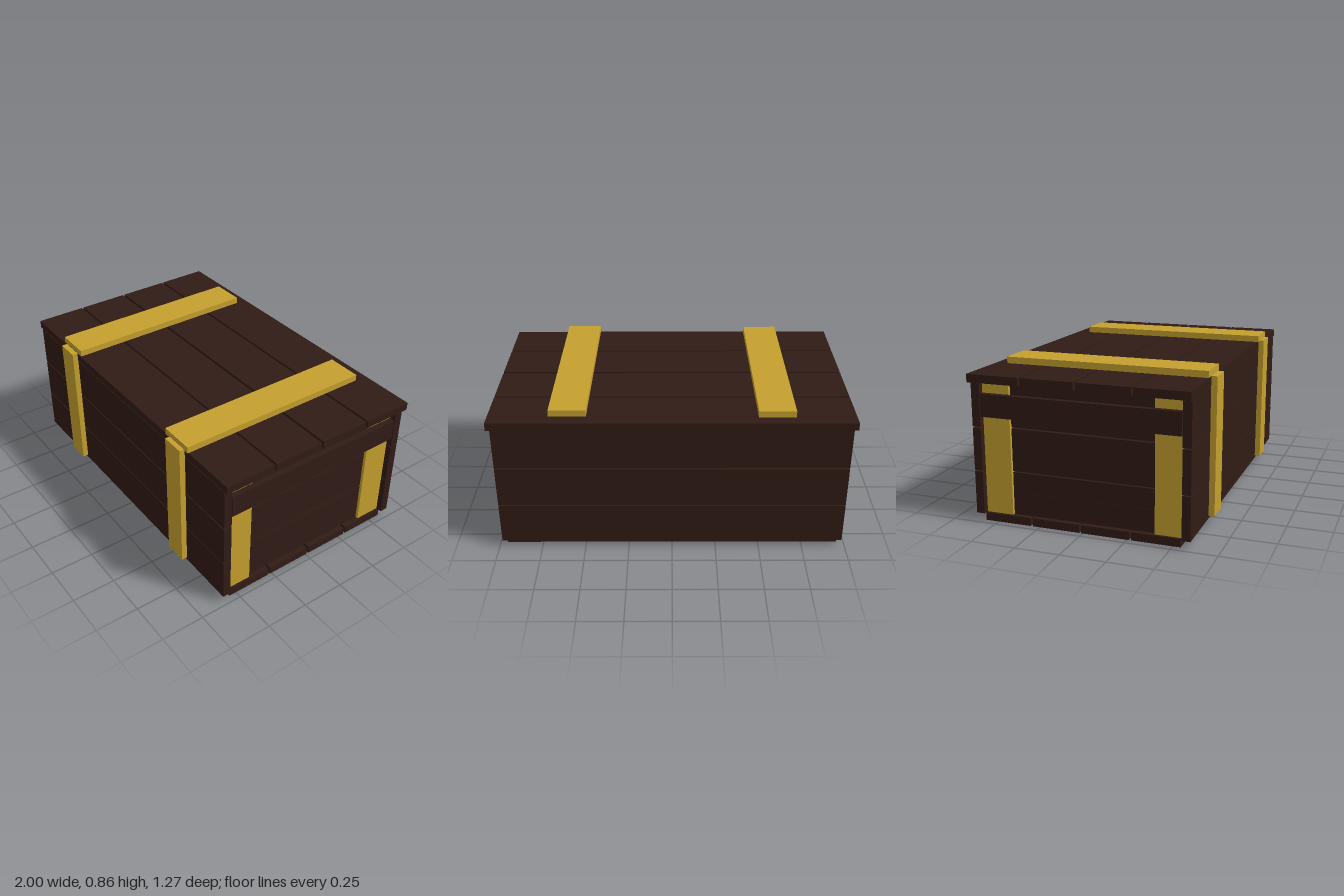
import * as THREE from 'three';

export function createModel() {
  const model = new THREE.Group();
  model.name = 'crate';
  const wood = new THREE.MeshStandardMaterial({ color: 0x301b15 });
  const brass = new THREE.MeshStandardMaterial({ color: 0xc4a02e });

  // Box given by its extents on each axis
  function board(name, material, [x0, x1], [y0, y1], [z0, z1]) {
    const mesh = new THREE.Mesh(new THREE.BoxGeometry(x1 - x0, y1 - y0, z1 - z0), material);
    mesh.position.set((x0 + x1) / 2, (y0 + y1) / 2, (z0 + z1) / 2);
    mesh.name = name;
    model.add(mesh);
  }
  // Extent on the +x or -x side
  const sideways = (side, a, b) => (side > 0 ? [a, b] : [-b, -a]);

  // Floor and lid planks
  for (const z of [0.273, -0.008, -0.29, -0.575]) {
    board('floorPlank', wood, [-0.96, 0.96], [0, 0.045], [z, z + 0.27]);
  }
  for (const z of [0.303, -0.007, -0.32, -0.632]) {
    board('lidPlank', wood, [-1, 1], [0.78, 0.825], [z, z + 0.298]);
  }

  // Three rows of wall planks with narrow gaps
  const rows = [[0.045, 0.284], [0.291, 0.528], [0.536, 0.774]];
  for (const row of rows) {
    board('frontPlank', wood, [-0.98, 0.98], row, [0.553, 0.6]);
    board('backPlank', wood, [-0.98, 0.98], row, [-0.62, -0.573]);
  }

  for (const side of [1, -1]) {
    // End walls, the lowest row made of two planks
    for (const row of [[0.045, 0.17], [0.171, 0.284], rows[1], rows[2]]) {
      board('endPlank', wood, sideways(side, 0.82, 0.928), row, [-0.42, 0.403]);
    }
    // Corner posts
    for (const z of [[0.398, 0.553], [-0.573, -0.416]]) {
      board('cornerPost', brass, sideways(side, 0.81, 0.945), [0.045, 0.78], z);
    }
    // Carrying bar across the posts
    board('handleBar', wood, sideways(side, 0.945, 0.978), [0.592, 0.717], [-0.57, 0.547]);
  }

  // Straps on the front and over the lid
  board('frontStrap', brass, [-0.64, -0.505], [0.06, 0.83], [0.6, 0.633]);
  board('frontStrap', brass, [0.503, 0.636], [0.06, 0.83], [0.6, 0.633]);
  board('lidStrap', brass, [-0.672, -0.468], [0.825, 0.862], [-0.566, 0.595]);
  board('lidStrap', brass, [0.465, 0.67], [0.825, 0.862], [-0.556, 0.606]);

  return model;
}
